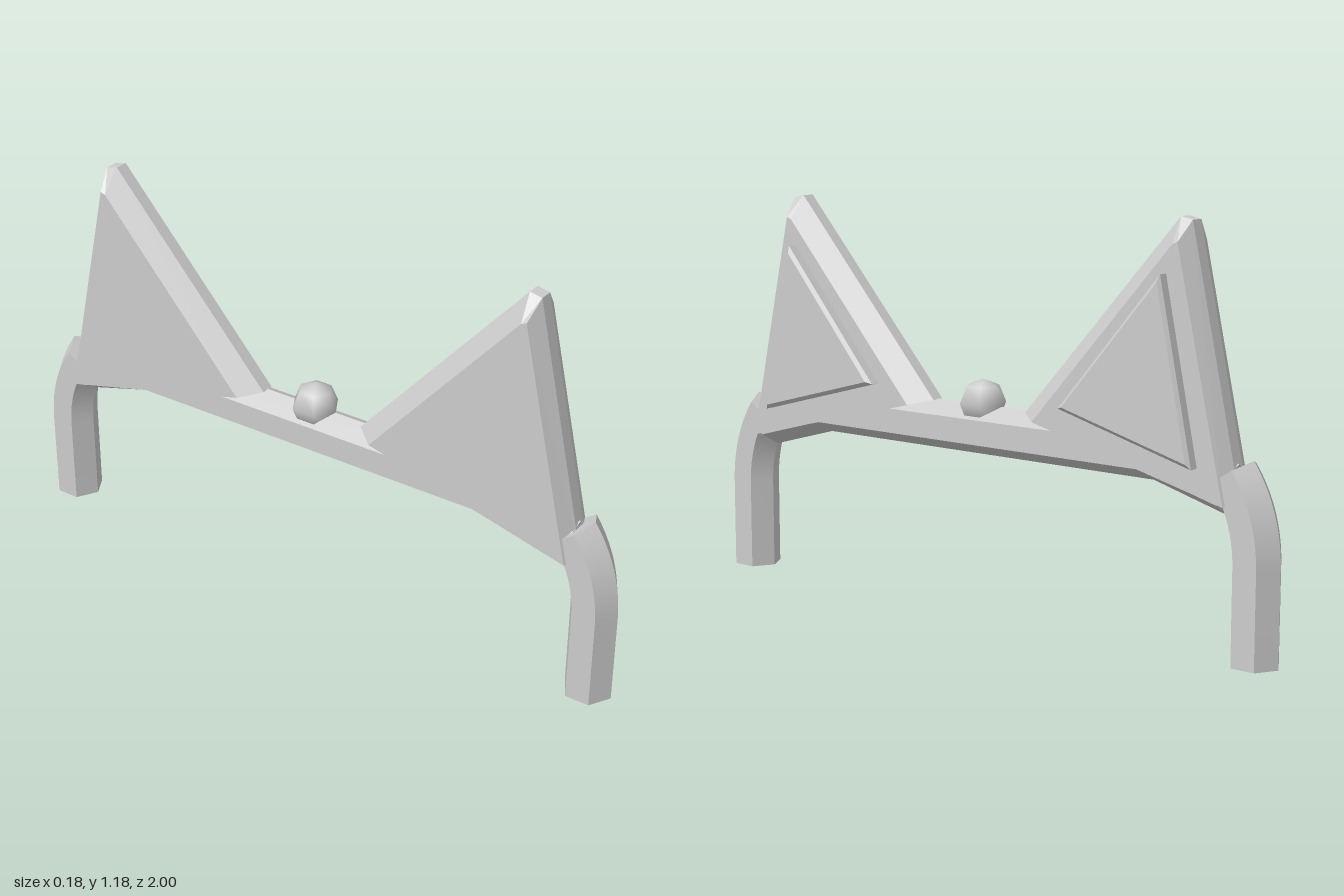
import * as THREE from 'three';
import { toCreasedNormals } from 'three/addons/utils/BufferGeometryUtils.js';

const MID = -0.02; // x of the headband's centre plane

// Skin a row of matching convex sections (arrays of Vector3) and cap both ends
function loft(sections, crease = 0.01) {
  const tris = [];
  const n = sections[0].length;
  for (let s = 0; s < sections.length - 1; s++) {
    const a = sections[s], b = sections[s + 1];
    for (let i = 0; i < n; i++) {
      const j = (i + 1) % n;
      tris.push([a[i], a[j], b[j]], [a[i], b[j], b[i]]);
    }
  }
  const first = sections[0], last = sections[sections.length - 1];
  for (let i = 1; i < n - 1; i++) {
    tris.push([first[0], first[i + 1], first[i]], [last[0], last[i], last[i + 1]]);
  }
  // Turn the faces outward if the sections run the other way
  const center = new THREE.Vector3();
  sections.flat().forEach((p) => center.add(p));
  center.divideScalar(sections.length * n);
  let volume = 0;
  for (const [a, b, c] of tris) {
    const u = a.clone().sub(center), v = b.clone().sub(center), w = c.clone().sub(center);
    volume += u.dot(v.cross(w));
  }
  if (volume < 0) tris.forEach((t) => t.reverse());
  const geometry = new THREE.BufferGeometry().setFromPoints(tris.flat());
  return toCreasedNormals(geometry, crease);
}

// Sweep a hexagon along a path of Vector2(z, y) in the centre plane
function hexTube(path, radius, crease) {
  const sections = path.map((p, i) => {
    const before = path[Math.max(i - 1, 0)], after = path[Math.min(i + 1, path.length - 1)];
    const dir = after.clone().sub(before).normalize();
    return Array.from({ length: 6 }, (_, k) => {
      const a = k * Math.PI / 3, out = radius * Math.cos(a);
      return new THREE.Vector3(MID + radius * Math.sin(a), p.y + dir.x * out, p.x - dir.y * out);
    });
  });
  return loft(sections, crease);
}

// Stack outlines of [z, y] points at given x positions; side mirrors z
function slab(layers, side) {
  return loft(layers.map(([x, outline]) => outline.map(([z, y]) => new THREE.Vector3(x, y, z * side))));
}

export function createModel() {
  const group = new THREE.Group();
  const grey = new THREE.MeshStandardMaterial({ color: 0xcccccc });
  grey.name = 'light grey';
  const add = (geometry, name) => {
    const mesh = new THREE.Mesh(geometry, grey);
    mesh.name = name;
    group.add(mesh);
    return mesh;
  };
  const v2 = (z, y) => new THREE.Vector2(z, y);

  // Crossbar with drooping ends
  add(hexTube([v2(-0.848, 0.466), v2(-0.6, 0.533), v2(0.6, 0.533), v2(0.848, 0.466)], 0.0725), 'crossbar');

  // Ear: broad side faces, bevelled to a narrow rim
  const rim = [[0.17, 0.603], [0.685, 1.18], [0.722, 1.172], [0.887, 0.424]];
  const face = [[0.23, 0.588], [0.692, 1.11], [0.708, 1.116], [0.861, 0.43]];
  // Inner ear panel with a small bevel
  const panel = [[0.342, 0.642], [0.674, 1.032], [0.78, 0.524]];
  const panelTop = panel.map(([z, y]) => [0.61 + (z - 0.61) * 0.93, 0.73 + (y - 0.73) * 0.93]);

  for (const side of [1, -1]) {
    const prefix = side > 0 ? 'front' : 'back';
    // Leg, straight below and bending inward at the top
    const bend = new THREE.QuadraticBezierCurve(
      v2(0.9275 * side, 0.27), v2(0.9275 * side, 0.405), v2(0.852 * side, 0.51));
    add(hexTube([v2(0.9275 * side, 0), ...bend.getPoints(10)], 0.0725, 0.35), prefix + 'Leg');
    add(slab([[-0.09, face], [-0.04, rim], [0, rim], [0.05, face]], side), prefix + 'Ear');
    add(slab([[0.045, panel], [0.078, panel], [0.088, panelTop]], side), prefix + 'EarPanel');
  }

  // Bead on the middle of the crossbar
  const bead = add(new THREE.SphereGeometry(0.0715, 6, 4), 'bead');
  bead.rotation.y = Math.PI / 6;
  bead.position.set(MID, 0.61, 0);

  return group;
}
